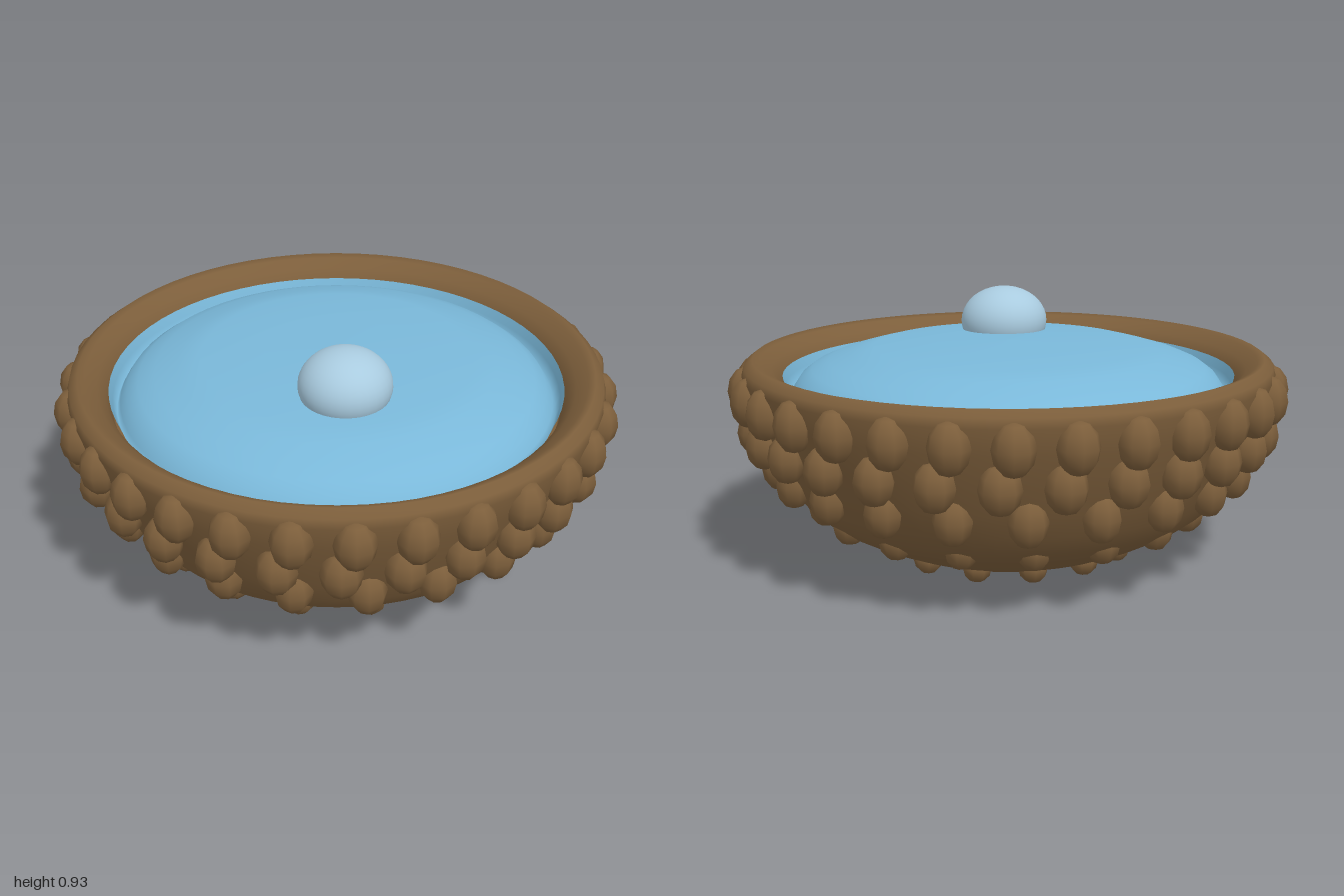
import * as THREE from 'three';

const paint = (name, color) => {
  const m = new THREE.MeshStandardMaterial({ color });
  m.name = name;
  return m;
};

// Surface of revolution through [radius, height] points
const lathe = (points, material, name) => {
  const profile = points.map(([r, y]) => new THREE.Vector2(r, y));
  const mesh = new THREE.Mesh(new THREE.LatheGeometry(profile, 64), material);
  mesh.name = name;
  return mesh;
};

export function createModel() {
  const model = new THREE.Group();
  model.name = 'studdedBowl';
  const brown = paint('brown', 0x7c5e3b);
  const blue = paint('waterBlue', 0x7ab8d9);
  const pale = paint('paleBlue', 0xa9cbdf);

  // Bowl: underside, outer wall, rounded rim, inner wall, hidden floor
  model.add(lathe([
    [0, 0.005], [0.2, 0.015], [0.37, 0.033], [0.48, 0.075], [0.58, 0.12], [0.67, 0.17],
    [0.735, 0.22], [0.79, 0.29], [0.835, 0.38], [0.88, 0.48], [0.92, 0.59], [0.943, 0.68],
    [0.935, 0.712], [0.905, 0.735], [0.88, 0.727], [0.84, 0.698], [0.812, 0.67],
    [0.797, 0.63], [0.785, 0.57], [0, 0.56],
  ], brown, 'bowl'));

  // Domed water with a raised lip against the bowl wall
  model.add(lathe([
    [0.802, 0.672], [0.79, 0.64], [0.777, 0.6], [0.765, 0.622], [0.74, 0.66], [0.7, 0.69],
    [0.64, 0.716], [0.56, 0.74], [0.48, 0.761], [0.25, 0.772], [0, 0.778],
  ], blue, 'water'));

  // Bubble on the water
  const bubble = new THREE.Mesh(new THREE.SphereGeometry(1, 32, 20), pale);
  bubble.name = 'bubble';
  bubble.scale.set(0.16, 0.128, 0.16);
  bubble.position.set(0.24, 0.802, 0.16);
  model.add(bubble);

  // Rings of studs: count, ring radius, height, half size, half-step offset
  const rings = [
    [30, 0.93, 0.615, [0.07, 0.088, 0.065], 0.5],
    [28, 0.9, 0.482, [0.07, 0.083, 0.065], 0],
    [22, 0.825, 0.355, [0.066, 0.083, 0.062], 0.5],
    [18, 0.672, 0.215, [0.06, 0.07, 0.062], 0],
    [14, 0.43, 0.068, [0.052, 0.052, 0.05], 0.5],
  ];
  const studGeometry = new THREE.SphereGeometry(1, 8, 6);
  rings.forEach(([count, radius, y, size, offset], row) => {
    const ring = new THREE.Group();
    ring.name = `studRing${row + 1}`;
    for (let i = 0; i < count; i++) {
      const a = ((i + offset) / count) * Math.PI * 2;
      const stud = new THREE.Mesh(studGeometry, brown);
      stud.name = 'stud';
      stud.position.set(Math.sin(a) * radius, y, Math.cos(a) * radius);
      stud.rotation.y = a;
      stud.scale.set(...size);
      ring.add(stud);
    }
    model.add(ring);
  });

  return model;
}
